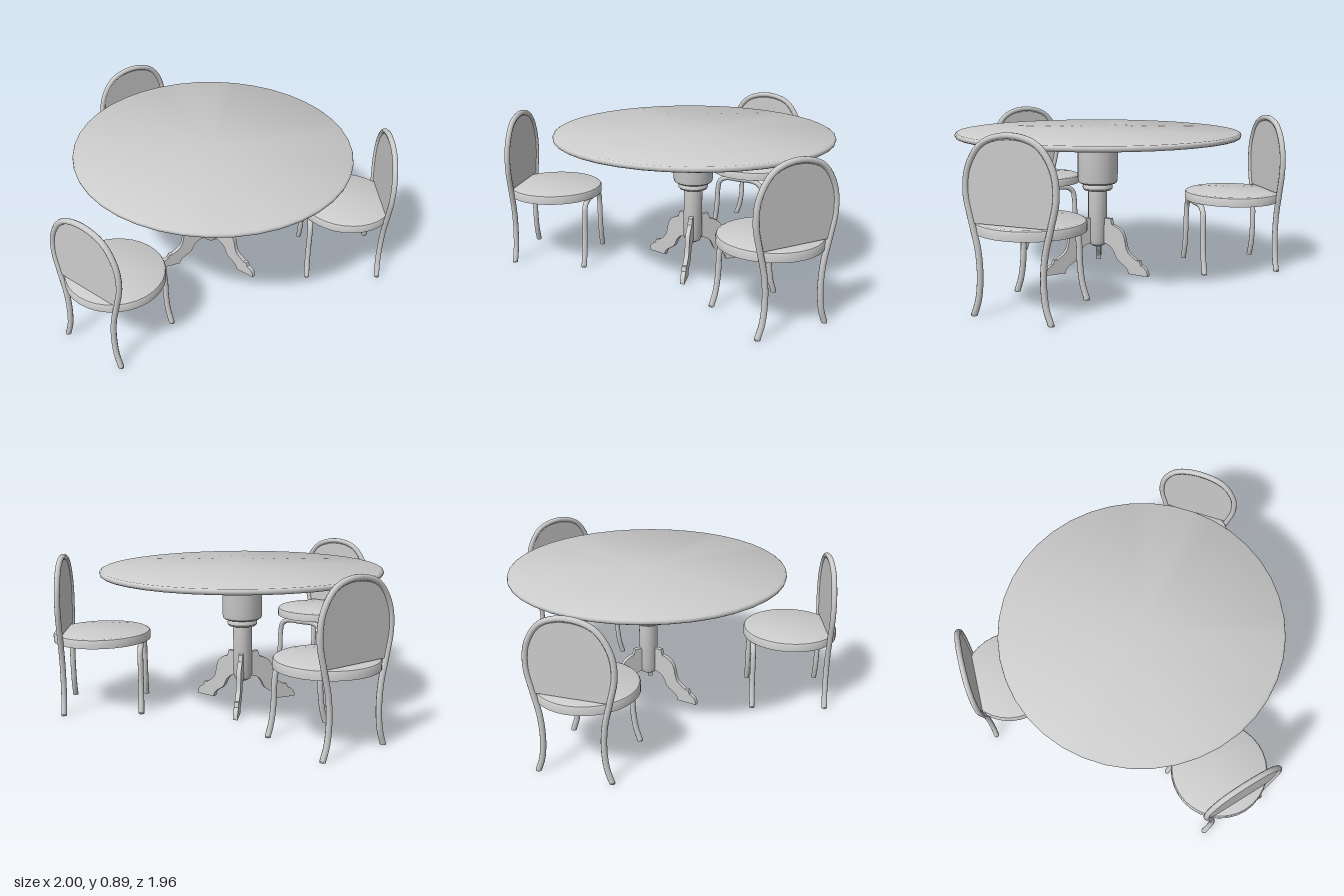
import * as THREE from 'three';
import { toCreasedNormals } from 'three/addons/utils/BufferGeometryUtils.js';

const material = new THREE.MeshStandardMaterial({ color: 0xcccccc });

function part(name, geometry, crease = 0.6) {
  const mesh = new THREE.Mesh(toCreasedNormals(geometry, crease), material);
  mesh.name = name;
  return mesh;
}

const lathe = (points, sides) =>
  new THREE.LatheGeometry(points.map(([r, y]) => new THREE.Vector2(r, y)), sides);

// Bent tube that is mirrored left to right, with closed ends; the last point lies on x = 0
function bentTube(name, half, z, steps) {
  const right = half.map(([x, y]) => new THREE.Vector3(x, y, z));
  const left = half.slice(0, -1).reverse().map(([x, y]) => new THREE.Vector3(-x, y, z));
  const curve = new THREE.CatmullRomCurve3([...right, ...left]);
  const group = new THREE.Group();
  group.name = name;
  group.add(part(name + 'Tube', new THREE.TubeGeometry(curve, steps, 0.016, 10), 1));
  for (const side of [-1, 1]) {
    const cap = part('footCap', new THREE.CylinderGeometry(0.016, 0.016, 0.008, 10));
    cap.position.set(side * half[0][0], 0.004, z);
    group.add(cap);
  }
  return group;
}

function createChair() {
  const chair = new THREE.Group();
  chair.name = 'chair';

  // Round seat with a softened upper edge
  chair.add(part('seat', lathe(
    [[0, 0.4], [0.277, 0.4], [0.277, 0.438], [0.272, 0.447], [0.262, 0.452], [0, 0.452]], 32)));

  // Rear legs and back hoop in one bend
  chair.add(bentTube('backHoop', [
    [0.205, 0.005], [0.18, 0.08], [0.168, 0.2], [0.177, 0.33], [0.207, 0.46],
    [0.235, 0.6], [0.218, 0.73], [0.14, 0.84], [0, 0.878],
  ], 0.208, 72));

  // Front legs joined under the seat
  chair.add(bentTube('frontLegs', [
    [0.2, 0.005], [0.177, 0.08], [0.163, 0.18], [0.157, 0.3], [0.145, 0.355],
    [0.105, 0.383], [0, 0.386],
  ], -0.227, 56));

  // Thin panel filling the hoop
  const edge = [[0.193, 0.456], [0.222, 0.6], [0.203, 0.725], [0.13, 0.828], [0, 0.86]];
  const outline = [...edge, ...edge.slice(0, -1).reverse().map(([x, y]) => [-x, y])]
    .map(([x, y]) => new THREE.Vector2(x, y));
  const shape = new THREE.Shape();
  shape.moveTo(outline[0].x, outline[0].y);
  shape.splineThru(outline.slice(1));
  shape.closePath();
  const panel = part('backPanel', new THREE.ExtrudeGeometry(shape,
    { depth: 0.008, bevelEnabled: false, curveSegments: 32 }));
  panel.position.z = 0.204;
  chair.add(panel);
  return chair;
}

function createTable() {
  const table = new THREE.Group();
  table.name = 'table';

  // Round top with a rounded rim
  table.add(part('tableTop', lathe([
    [0, 0.785], [0.8, 0.785], [0.808, 0.79], [0.811, 0.8], [0.808, 0.81], [0.8, 0.815], [0, 0.815],
  ], 40), 0.9));

  // Drum, collar and column turned as one
  table.add(part('pedestal', lathe([
    [0, 0.135], [0.025, 0.138], [0.045, 0.15], [0.055, 0.175], [0.055, 0.47],
    [0.08, 0.472], [0.087, 0.482], [0.087, 0.495], [0.08, 0.508], [0.1, 0.51],
    [0.112, 0.518], [0.116, 0.535], [0.116, 0.786], [0, 0.786],
  ], 24)));

  // Three flat scrolled feet
  const profile = new THREE.Shape();
  profile.moveTo(0.03, 0.31);
  profile.lineTo(0.095, 0.31);
  profile.lineTo(0.105, 0.275);
  profile.lineTo(0.125, 0.27);
  profile.bezierCurveTo(0.2, 0.24, 0.185, 0.19, 0.2, 0.15);
  profile.bezierCurveTo(0.21, 0.11, 0.25, 0.1, 0.265, 0.085);
  profile.lineTo(0.285, 0.085);
  profile.lineTo(0.295, 0.06);
  profile.quadraticCurveTo(0.34, 0.045, 0.34, 0);
  profile.lineTo(0.215, 0);
  profile.bezierCurveTo(0.215, 0.05, 0.15, 0.05, 0.13, 0.09);
  profile.bezierCurveTo(0.11, 0.15, 0.08, 0.16, 0.03, 0.165);
  profile.closePath();
  const footGeometry = new THREE.ExtrudeGeometry(profile,
    { depth: 0.026, bevelEnabled: false, curveSegments: 8 });
  footGeometry.translate(0, 0, -0.013);
  for (let i = 0; i < 3; i++) {
    const foot = part('tableFoot', footGeometry);
    foot.rotation.y = i * Math.PI * 2 / 3;
    table.add(foot);
  }
  return table;
}

export function createModel() {
  const model = new THREE.Group();
  model.name = 'diningSet';

  const table = createTable();
  table.position.set(0.035, 0, -0.145);
  model.add(table);

  // Chairs: seat centre x, z and the direction their backs point
  for (const [x, z, dx, dz] of [
    [0.033, 0.707, 0, 1],
    [0.675, -0.65, 0.77, -0.64],
    [-0.715, -0.43, -0.957, -0.29],
  ]) {
    const chair = createChair();
    chair.position.set(x, 0, z);
    chair.rotation.y = Math.atan2(dx, dz);
    model.add(chair);
  }
  return model;
}
